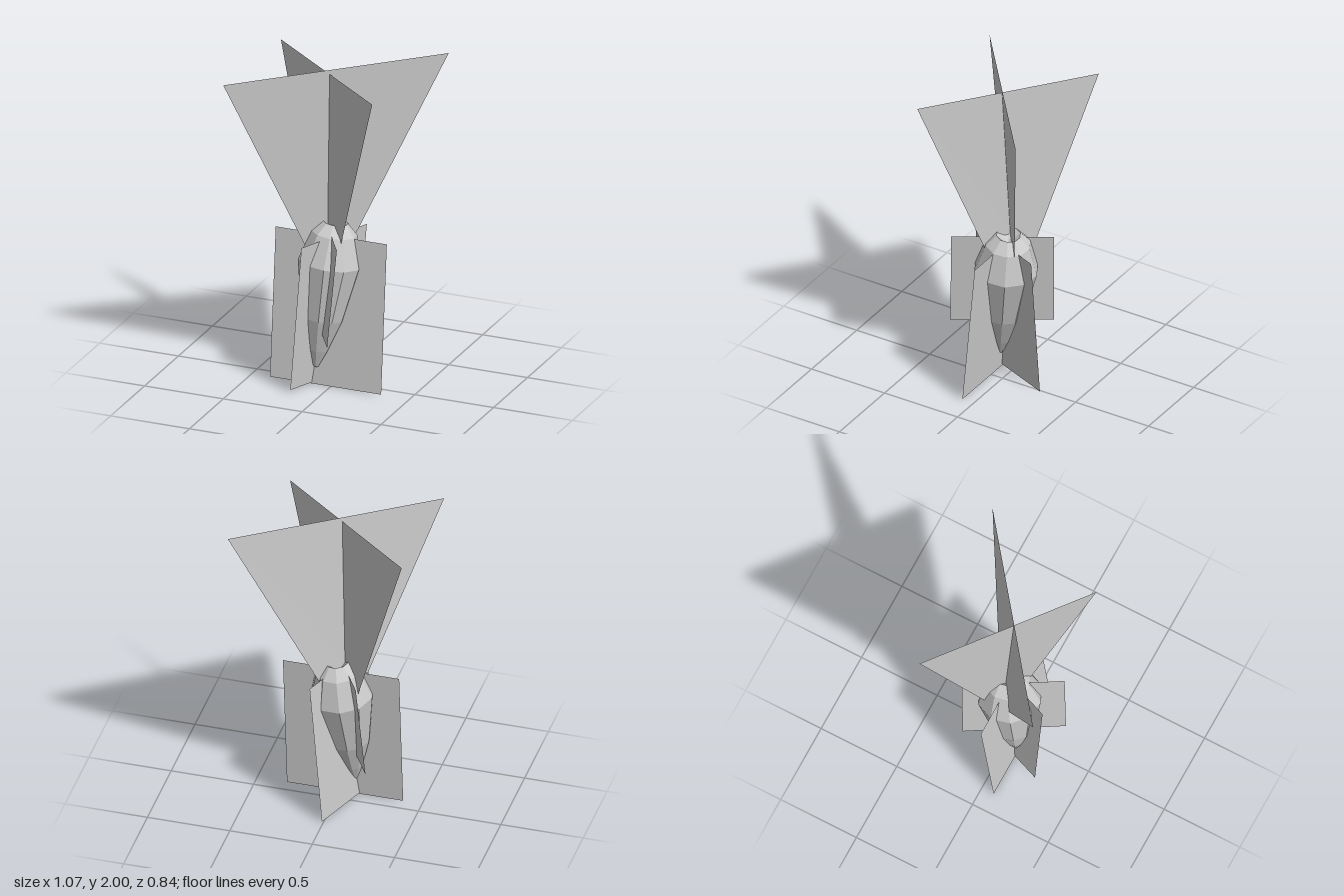
import * as THREE from 'three';

const solid = new THREE.MeshStandardMaterial({ color: 0xcccccc, flatShading: true });
const thin = new THREE.MeshStandardMaterial({ color: 0xcccccc, flatShading: true, side: THREE.DoubleSide });

// Flat four-cornered card; corners run around its outline
function card(name, corners) {
  const geometry = new THREE.BufferGeometry();
  geometry.setAttribute('position', new THREE.Float32BufferAttribute(corners.flat(), 3));
  geometry.setIndex([0, 1, 2, 0, 2, 3]);
  geometry.computeVertexNormals();
  const mesh = new THREE.Mesh(geometry, thin);
  mesh.name = name;
  return mesh;
}

export function createModel() {
  const model = new THREE.Group();
  model.name = 'rootVegetable';

  // Faceted, leaning bulb with a pointed tip and a dented crown
  const profile = [
    [0, -0.65], [0.015, -0.645], [0.06, -0.54], [0.128, -0.34], [0.192, 0],
    [0.135, 0.18], [0.072, 0.245], [0, 0.18],
  ].map(([r, y]) => new THREE.Vector2(r, y));
  const bulb = new THREE.Mesh(new THREE.LatheGeometry(profile, 10, 0.2), solid);
  bulb.name = 'bulb';
  bulb.rotation.set(-0.12, 0, -0.09);
  bulb.position.set(-0.037, 0.75, -0.002);
  model.add(bulb);

  // Crossed leaves fanning out of the crown
  model.add(card('leafA', [
    [-0.15, 0.8, 0.045], [0.03, 0.8, -0.1], [0.535, 2, -0.42], [-0.535, 1.94, 0.42],
  ]));
  model.add(card('leafB', [
    [-0.155, 0.8, -0.095], [0.035, 0.8, 0.055], [0.38, 1.94, 0.35], [-0.5, 1.945, -0.35],
  ]));

  // Upright cards crossing through the bulb
  model.add(card('wideRootCard', [
    [-0.385, 0, 0.078], [0.32, 0, 0.078], [0.32, 0.915, -0.006], [-0.385, 0.915, -0.006],
  ]));
  model.add(card('deepRootCard', [
    [-0.185, 0.01, 0.245], [0.01, 0, -0.262], [0.088, 0.915, -0.25], [-0.11, 0.92, 0.255],
  ]));
  model.add(card('shortRootCard', [
    [0.077, 0.34, 0.31], [-0.238, 0.345, -0.205], [-0.188, 0.95, -0.237], [0.124, 0.95, 0.276],
  ]));

  return model;
}
